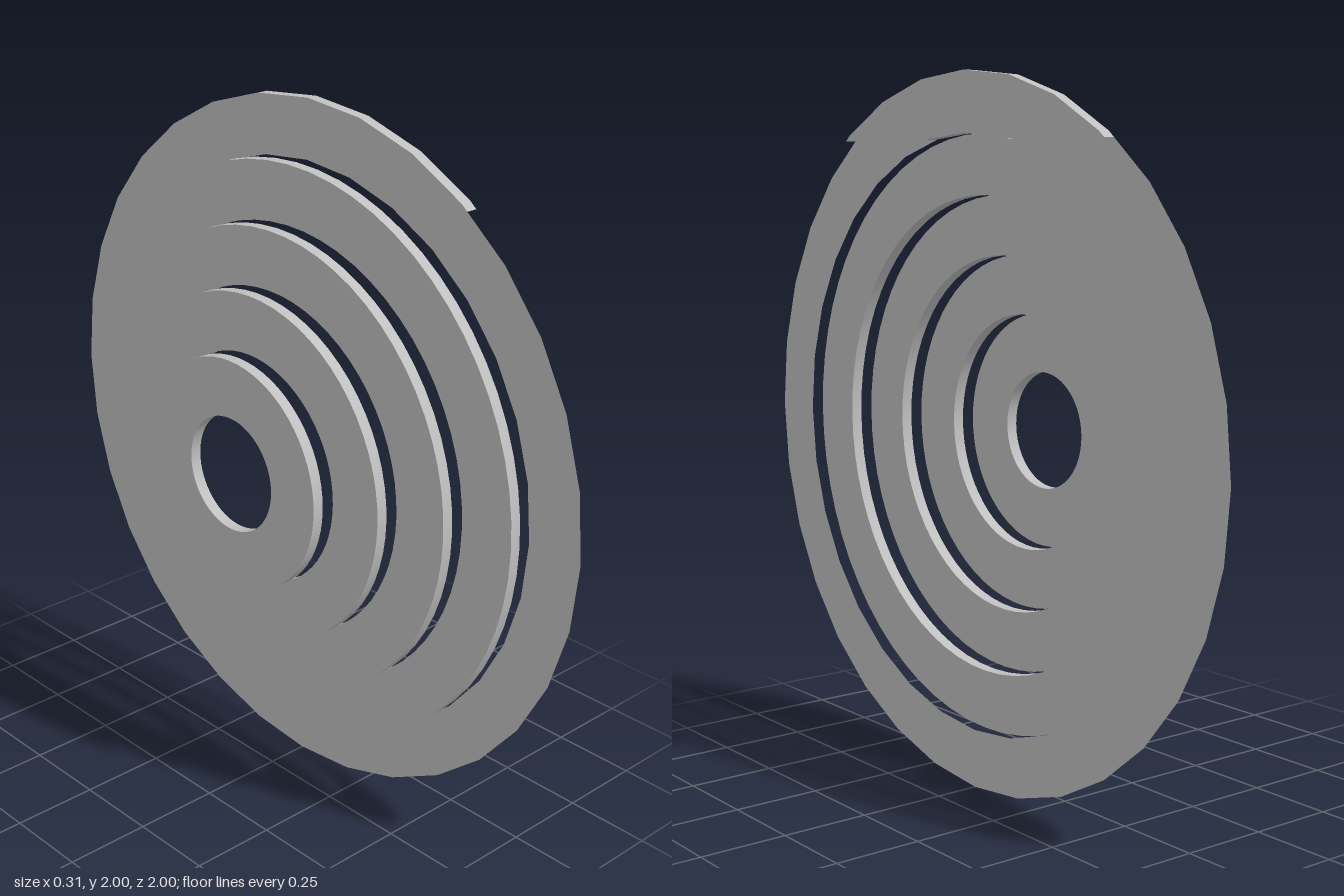
import * as THREE from 'three';
import { toCreasedNormals } from 'three/addons/utils/BufferGeometryUtils.js';

const STEP = 0.07;      // spacing of the rings along x
const THICK = 0.033;    // thickness of one ring
const CUT = 0.815;      // height above the centre where the raised rim segment ends
const SIDES = 32;       // sides of the outer ring

// Flat ring outline with a round hole
function ringShape(inner, outer) {
  const shape = new THREE.Shape().absarc(0, 0, outer, 0, Math.PI * 2, false);
  shape.holes.push(new THREE.Path().absarc(0, 0, inner, 0, Math.PI * 2, true));
  return shape;
}

// Part of a regular polygon above the cut, from +x over the top to -x
function arcAboveCut(radius) {
  const corner = i => new THREE.Vector2(
    radius * Math.cos(i / SIDES * Math.PI * 2),
    radius * Math.sin(i / SIDES * Math.PI * 2));
  const points = [];
  for (let i = 0; i < SIDES / 2; i++) {
    const a = corner(i), b = corner(i + 1);
    if ((a.y < CUT) !== (b.y < CUT)) points.push(a.clone().lerp(b, (CUT - a.y) / (b.y - a.y)));
    if (b.y >= CUT) points.push(b);
  }
  return points;
}

// Open strip of wall along a line of points, one ring thick
function wallGeometry(points, radialSign) {
  const positions = [], normals = [], index = [];
  points.forEach((p, i) => {
    const n = p.clone().normalize().multiplyScalar(radialSign);
    for (const z of [-THICK / 2, THICK / 2]) {
      positions.push(p.x, p.y, z);
      normals.push(n.x, n.y, 0);
    }
    if (i > 0) {
      const a = 2 * i - 2;
      if (radialSign > 0) index.push(a, a + 2, a + 1, a + 1, a + 2, a + 3);
      else index.push(a, a + 1, a + 2, a + 1, a + 3, a + 2);
    }
  });
  const geometry = new THREE.BufferGeometry();
  geometry.setAttribute('position', new THREE.Float32BufferAttribute(positions, 3));
  geometry.setAttribute('normal', new THREE.Float32BufferAttribute(normals, 3));
  geometry.setIndex(index);
  return geometry;
}

export function createModel() {
  const grey = new THREE.MeshStandardMaterial({ color: 0xc0c0c0, side: THREE.DoubleSide });
  grey.name = 'light grey';
  const model = new THREE.Group();
  model.name = 'steppedRings';

  const add = (name, geometry, x) => {
    const mesh = new THREE.Mesh(geometry.rotateY(Math.PI / 2), grey);
    mesh.name = name;
    mesh.position.set(x, 1, 0);
    model.add(mesh);
  };

  // Four solid rings, each larger and further along x
  for (let k = 1; k <= 4; k++) {
    const solid = new THREE.ExtrudeGeometry(ringShape(k / 6, (k + 1) / 6),
      { depth: THICK, bevelEnabled: false, curveSegments: 32 });
    solid.translate(0, 0, -THICK / 2);
    add(`ring${k}`, toCreasedNormals(solid, 0.5), (k - 3) * STEP);
  }

  // Outermost ring: a thin sheet with a raised segment at the top
  const x = 2 * STEP;
  add('outerRingSheet', new THREE.ShapeGeometry(ringShape(5 / 6, 1), SIDES / 2), x - THICK / 2);
  const outer = arcAboveCut(1), inner = arcAboveCut(5 / 6);
  const face = new THREE.Shape([...outer, ...inner.slice().reverse()]);
  add('topSegmentFace', new THREE.ShapeGeometry(face), x + THICK / 2);
  add('topSegmentRim', wallGeometry(outer, 1), x);
  add('topSegmentInnerWall', wallGeometry(inner, -1), x);

  return model;
}
